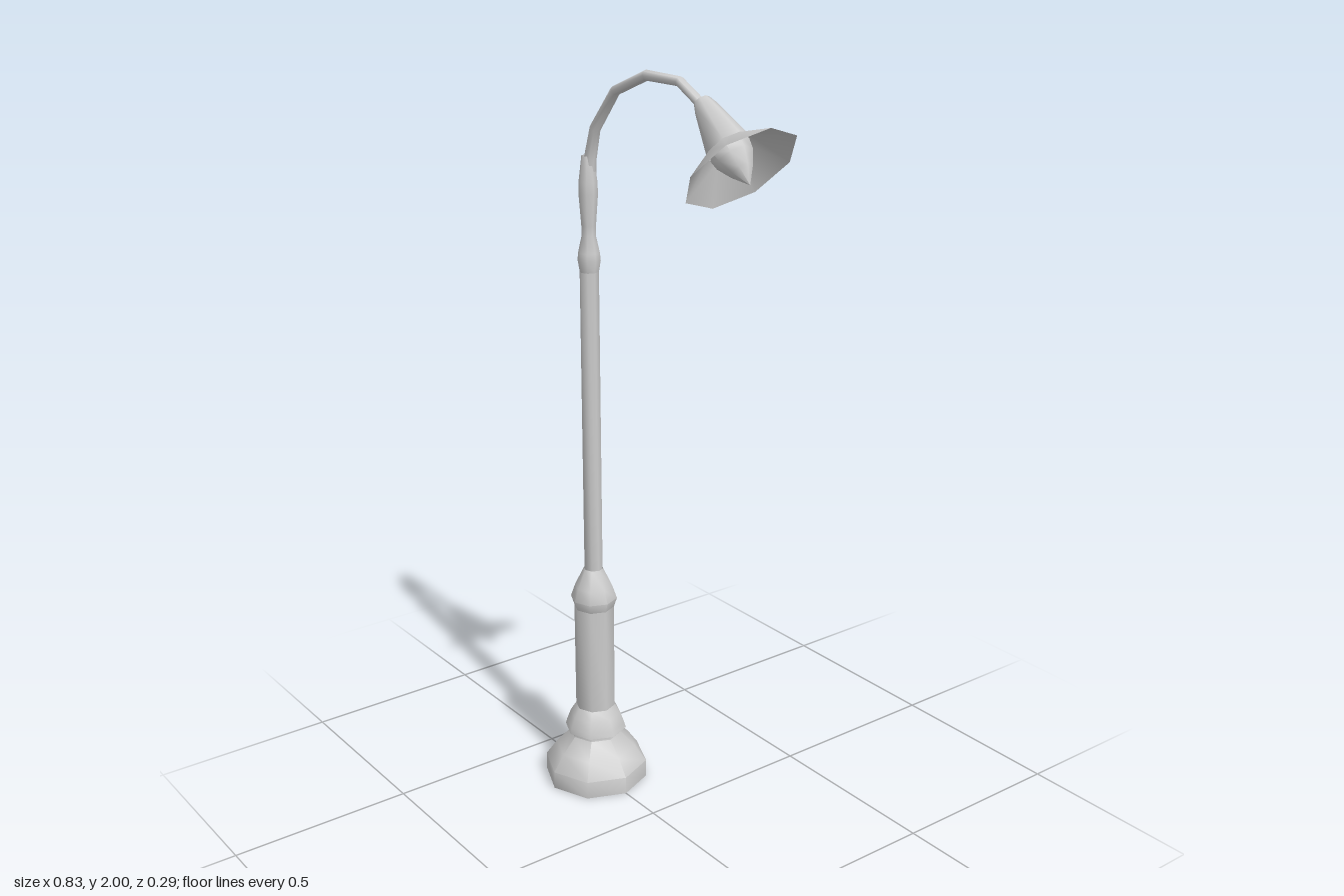
import * as THREE from 'three';
import { toCreasedNormals } from 'three/addons/utils/BufferGeometryUtils.js';

const SIDES = 8;
const POLE_X = -0.27;
const material = new THREE.MeshStandardMaterial({ color: 0xcccccc, side: THREE.DoubleSide });

function addMesh(parent, name, geometry) {
  const mesh = new THREE.Mesh(toCreasedNormals(geometry, 0.9), material);
  mesh.name = name;
  parent.add(mesh);
  return mesh;
}

// Eight-sided turned part from [radius, height] pairs, listed bottom to top
function turned(parent, name, profile) {
  const points = profile.map(([r, y]) => new THREE.Vector2(r, y));
  return addMesh(parent, name, new THREE.LatheGeometry(points, SIDES));
}

// Bent tube in the xy plane through [x, y, radius] stations
function bentTube(stations) {
  const n = stations.length - 1;
  const geometry = new THREE.CylinderGeometry(1, 1, n, SIDES, n, true);
  const p = geometry.attributes.position;
  for (let i = 0; i < p.count; i++) {
    const row = Math.round(p.getY(i) + n / 2);
    const [x, y, r] = stations[row];
    const a = stations[Math.max(row - 1, 0)];
    const b = stations[Math.min(row + 1, n)];
    const t = new THREE.Vector2(b[0] - a[0], b[1] - a[1]).normalize();
    const side = p.getX(i) * r;
    p.setXYZ(i, x + t.y * side, y - t.x * side, p.getZ(i) * r);
  }
  return geometry;
}

export function createModel() {
  const model = new THREE.Group();
  model.name = 'streetLamp';

  // Post, stacked from the ground up
  const post = new THREE.Group();
  post.name = 'post';
  post.position.x = POLE_X;
  model.add(post);
  turned(post, 'base', [[0.144, 0], [0.144, 0.05], [0.112, 0.095], [0.072, 0.138], [0.072, 0.146]]);
  turned(post, 'baseRing', [[0.072, 0.146], [0.086, 0.153], [0.082, 0.168], [0.071, 0.198], [0.052, 0.228]]);
  turned(post, 'lowerColumn', [[0.055, 0.22], [0.055, 0.53]]);
  turned(post, 'columnCollar', [[0.055, 0.528], [0.064, 0.555], [0.052, 0.59], [0.027, 0.642]]);
  turned(post, 'pole', [[0.025, 0.63], [0.025, 1.48]]);
  turned(post, 'neck', [
    [0.025, 1.47], [0.03, 1.5], [0.028, 1.52], [0.018, 1.565], [0.019, 1.59],
    [0.025, 1.67], [0.024, 1.7], [0.016, 1.765],
  ]);

  // Curved arm from the neck to the lamp head
  const arm = addMesh(model, 'arm', bentTube([
    [-0.27, 1.7, 0.017], [-0.264, 1.76, 0.016], [-0.242, 1.835, 0.014], [-0.155, 1.937, 0.013],
    [-0.03, 1.987, 0.013], [0.095, 1.987, 0.012], [0.2, 1.933, 0.012],
  ]));
  arm.position.z = -0.004;

  // Tilted lamp head: local y runs from the shade mouth back to the arm
  const head = new THREE.Group();
  head.name = 'lampHead';
  head.position.set(0.316, 1.82, -0.006);
  head.rotation.z = Math.atan2(0.73, 0.68);
  model.add(head);
  turned(head, 'shade', [[0.143, 0], [0.054, 0.062]]);
  turned(head, 'socket', [[0.054, 0.062], [0.027, 0.175], [0.02, 0.194], [0, 0.196]]);
  turned(head, 'bulb', [[0, -0.044], [0.028, -0.005], [0.046, 0.03], [0.05, 0.055], [0.04, 0.075]]);

  return model;
}
